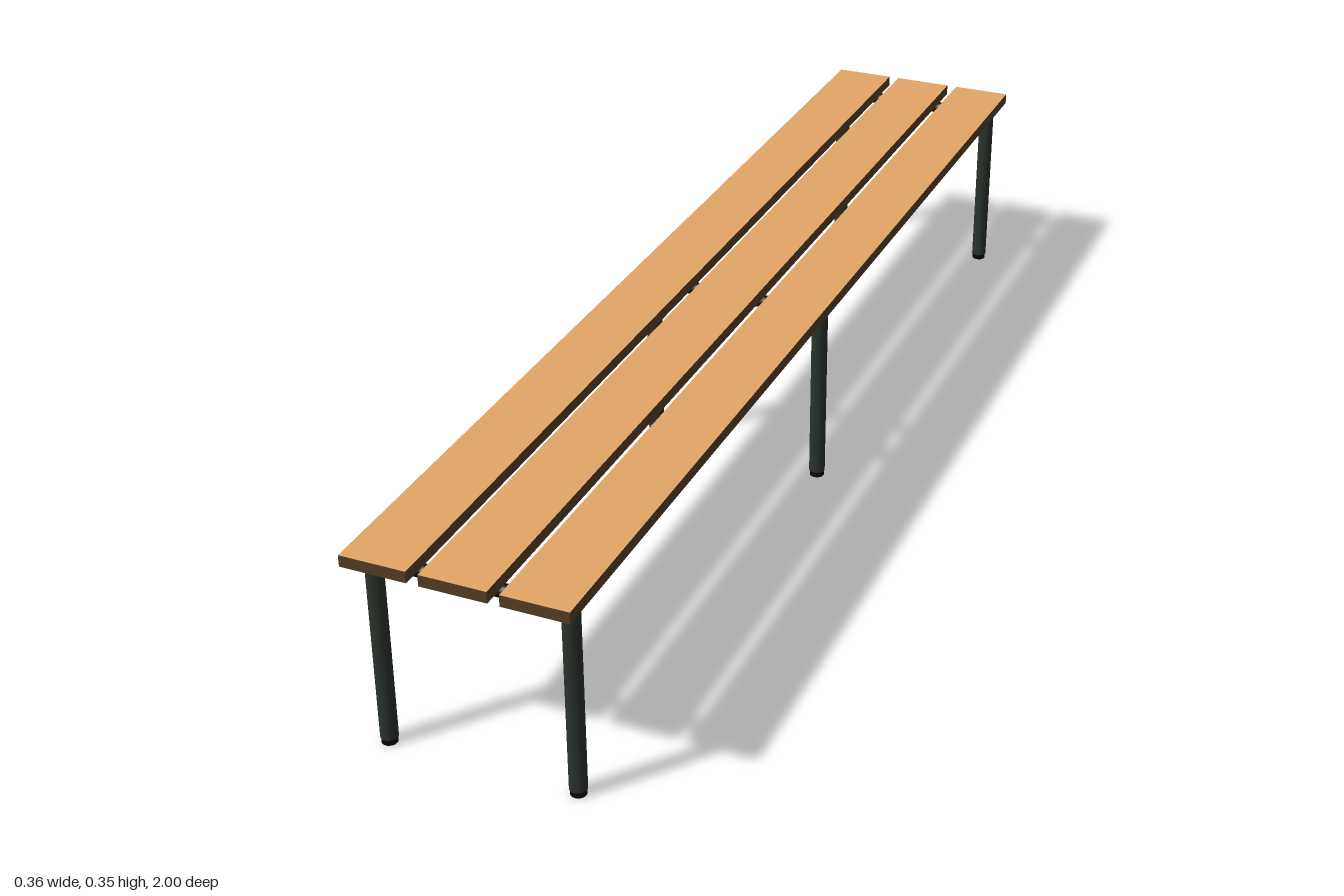
import * as THREE from 'three';

export function createModel() {
  const bench = new THREE.Group();
  bench.name = 'bench';

  const paint = (name, color) => {
    const m = new THREE.MeshStandardMaterial({ color });
    m.name = name;
    return m;
  };
  const wood = paint('wood', 0xe3a666);
  const woodEdge = paint('darkWoodEdge', 0x563d24);
  const underside = paint('blackUnderside', 0x070707);
  const metal = paint('darkGreenMetal', 0x2a332c);
  const railMetal = paint('darkRailMetal', 0x161a17);
  const barMetal = paint('blackBarMetal', 0x0b0d0c);
  const rubber = paint('blackRubber', 0x060706);

  const add = (name, geometry, material, x, y, z) => {
    const mesh = new THREE.Mesh(geometry, material);
    mesh.name = name;
    mesh.position.set(x, y, z);
    bench.add(mesh);
  };

  // Three seat planks: light top, dark edges, black underside
  const plank = new THREE.BoxGeometry(0.107, 0.019, 2);
  const plankFaces = [woodEdge, woodEdge, wood, underside, woodEdge, woodEdge];
  for (const x of [-0.126, 0, 0.126]) add('seatPlank', plank, plankFaces, x, 0.3415, 0);

  // Three leg frames: two round legs with rubber feet and a crossbar
  const leg = new THREE.CylinderGeometry(0.0138, 0.0138, 0.322, 24);
  const foot = new THREE.CylinderGeometry(0.0125, 0.0125, 0.01, 24);
  const crossbar = new THREE.CylinderGeometry(0.0108, 0.0108, 0.31, 20).rotateZ(Math.PI / 2);
  for (const z of [-0.95, 0, 0.95]) {
    for (const x of [-0.155, 0.155]) {
      add('leg', leg, metal, x, 0.171, z);
      add('foot', foot, rubber, x, 0.005, z);
    }
    add('crossbar', crossbar, barMetal, 0, 0.3212, z);
  }

  // Long rails joining the legs on each side
  const rail = new THREE.CylinderGeometry(0.0108, 0.0108, 1.9, 20).rotateX(Math.PI / 2);
  for (const x of [-0.155, 0.155]) add('sideRail', rail, railMetal, x, 0.3212, 0);

  return bench;
}
